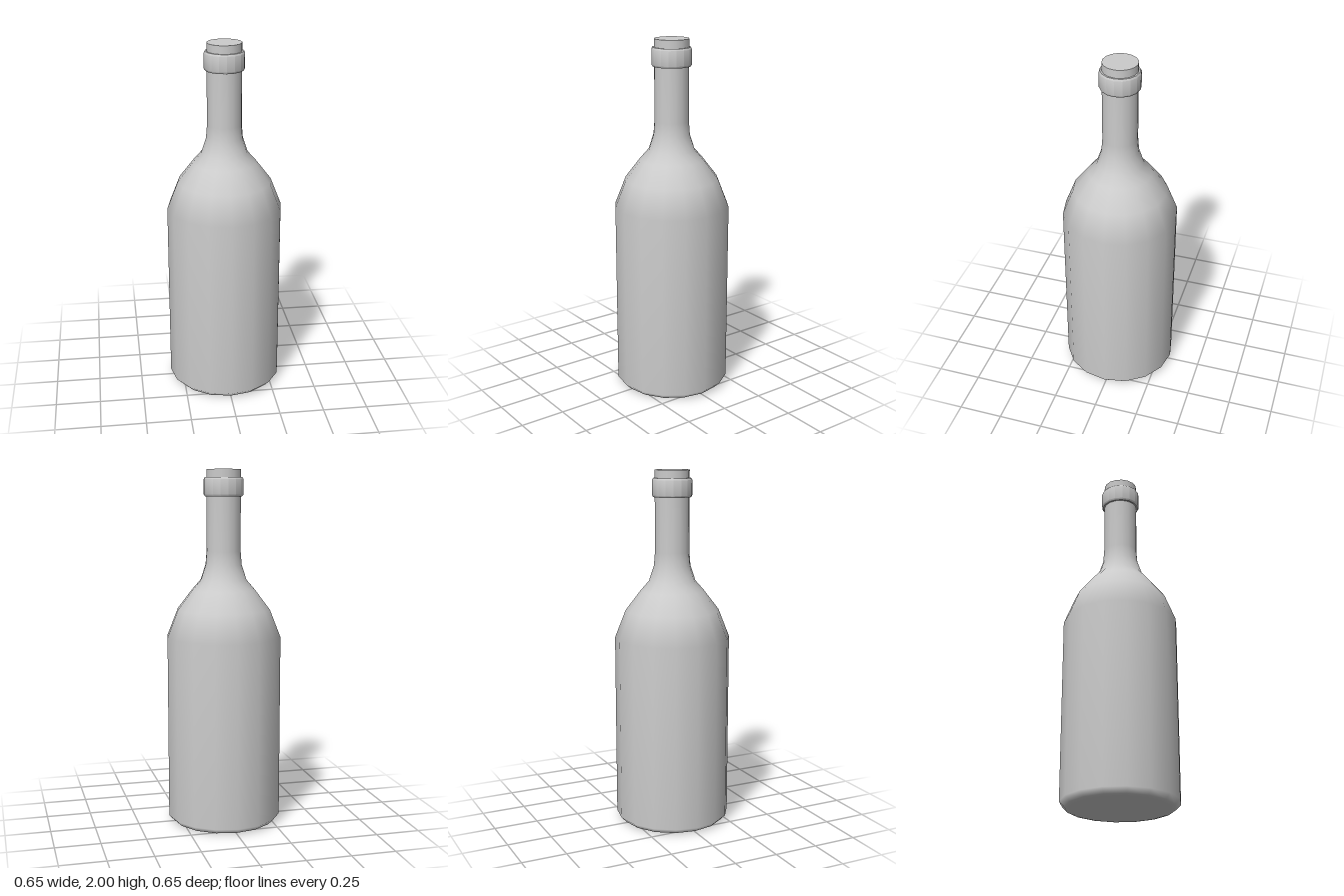
import * as THREE from 'three';
import { toCreasedNormals } from 'three/addons/utils/BufferGeometryUtils.js';

const SIDES = 16;

export function createModel() {
  const group = new THREE.Group();
  const material = new THREE.MeshStandardMaterial({ color: 0xcccccc });

  const add = (name, geometry) => {
    const mesh = new THREE.Mesh(geometry, material);
    mesh.name = name;
    group.add(mesh);
  };
  // Profile of [radius, height] pairs, running up the outside
  const lathe = (profile) =>
    new THREE.LatheGeometry(profile.map(([r, y]) => new THREE.Vector2(r, y)), SIDES);

  // Base, body, shoulder and neck in one smooth skin
  add('bottleBody', lathe([
    [0, 0], [0.27, 0], [0.295, 0.006], [0.323, 0.035],
    [0.323, 1.07], [0.262, 1.225], [0.178, 1.335], [0.13, 1.39],
    [0.102, 1.475], [0.096, 1.55], [0.096, 1.87],
  ]));

  // Raised ring around the mouth, with bevelled rims
  add('neckCollar', toCreasedNormals(lathe([
    [0.09, 1.852], [0.105, 1.852], [0.111, 1.862],
    [0.111, 1.945], [0.105, 1.955], [0.09, 1.955],
  ]), 0.6));

  // Stopper closing the mouth
  const stopper = new THREE.CylinderGeometry(0.096, 0.096, 0.1, SIDES);
  stopper.translate(0, 1.95, 0);
  add('stopper', stopper);

  return group;
}
